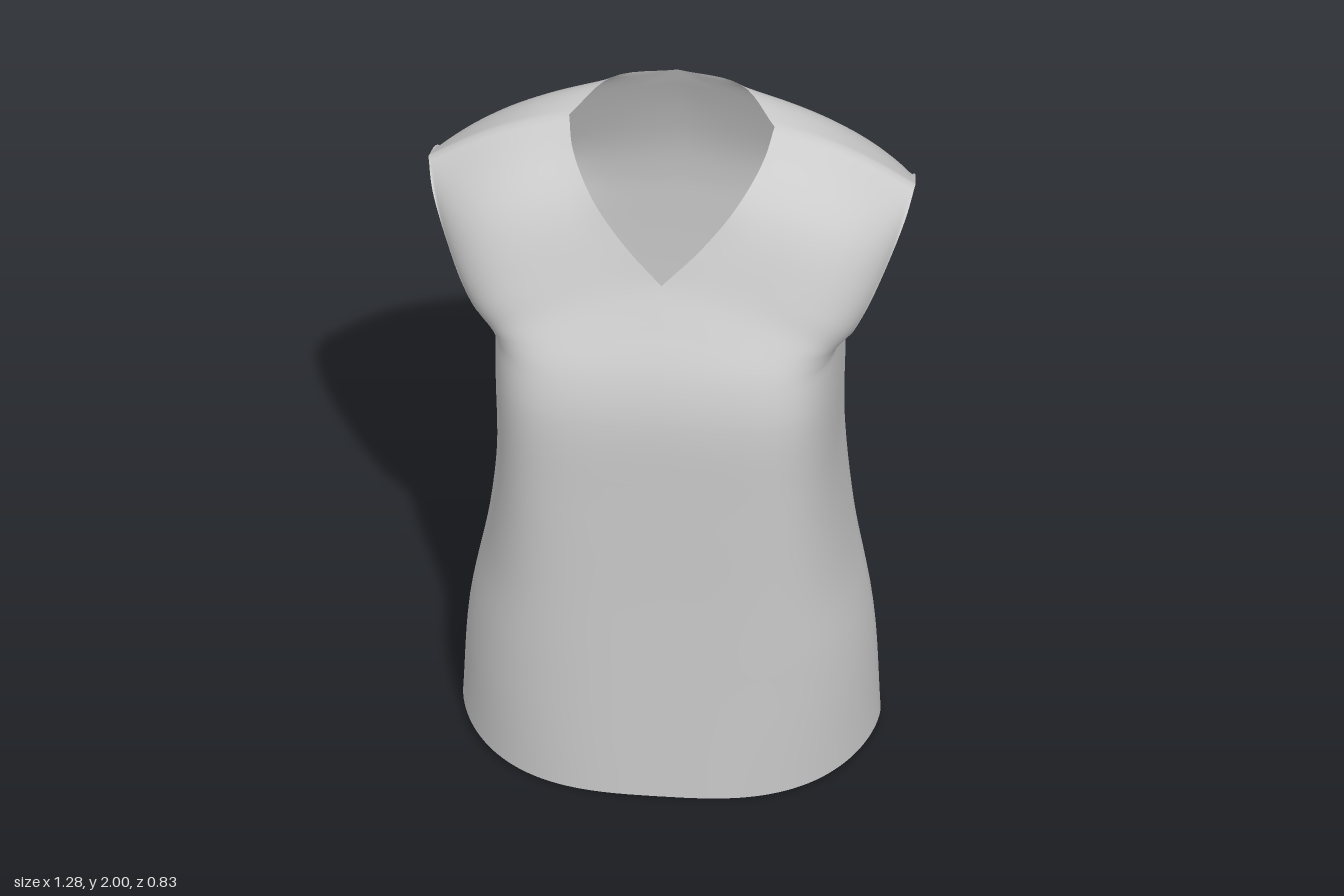
import * as THREE from 'three';
import { mergeGeometries, mergeVertices } from 'three/addons/utils/BufferGeometryUtils.js';

const { lerp, smoothstep } = THREE.MathUtils;

// Each edge is a chain of smooth curves that meet at corners; one unit of k is one knot.
function edge(...parts) {
  const curves = parts.map((p) => new THREE.CatmullRomCurve3(p.map((q) => new THREE.Vector3(...q))));
  return (k) => {
    for (const c of curves) {
      const n = c.points.length - 1;
      if (k <= n + 1e-9) return c.getPoint(Math.min(1, k / n));
      k -= n;
    }
  };
}

const KNOTS = 11, STEPS = 6, COLS = 32, ROWS = KNOTS * STEPS, W = COLS + 1;
const side = [[.548, .04, 0], [.53, .35, 0], [.478, .65, 0], [.45, .95, 0], [.452, 1.2, 0], [.453, 1.34, 0]];

// Centre line then neckline (inner), side seam then armhole (outer); n is the squareness along the height.
const front = {
  dir: 1,
  centreKnots: 7,
  inner: edge(
    [[0, 0, .37], [0, .35, .38], [0, .65, .39], [0, .95, .403], [0, 1.25, .412], [0, 1.38, .388], [0, 1.5, .338], [0, 1.62, .283]],
    [[0, 1.62, .283], [.1, 1.72, .25], [.19, 1.83, .2], [.25, 1.91, .1], [.27, 1.95, 0]]),
  outer: edge(side,
    [[.453, 1.34, 0], [.465, 1.37, .11], [.49, 1.43, .195], [.53, 1.51, .19], [.575, 1.61, .145], [.622, 1.73, .075], [.64, 1.785, 0]]),
  n: [2.3, 2.7, 3.3, 3.9, 4.2, 4.2, 4, 3, 2.4, 2, 2, 2],
};
const back = {
  dir: -1,
  centreKnots: 9,
  inner: edge(
    [[0, .045, -.415], [0, .35, -.405], [0, .65, -.392], [0, .95, -.38], [0, 1.2, -.365], [0, 1.38, -.35],
      [0, 1.52, -.335], [0, 1.66, -.305], [0, 1.83, -.24], [0, 2, -.155]],
    [[0, 2, -.155], [.17, 1.985, -.125], [.27, 1.95, 0]]),
  outer: edge(side,
    [[.453, 1.34, 0], [.465, 1.39, -.11], [.49, 1.46, -.2], [.53, 1.53, -.225], [.585, 1.62, -.21], [.627, 1.735, -.115], [.64, 1.785, 0]]),
  n: [2.2, 2.4, 2.7, 3, 3.2, 3.4, 3.5, 3.2, 2.6, 2.2, 2, 2],
};

// Rows sweep from the inner edge to the outer edge in an arc, flat at the middle and slanting to the side.
function panelGrid(panel) {
  const grid = [];
  for (let i = 0; i <= ROWS; i++) {
    const k = i / STEPS, a = panel.inner(k), b = panel.outer(k);
    const k0 = Math.min(KNOTS - 1, Math.floor(k));
    const n = lerp(panel.n[k0], panel.n[k0 + 1], k - k0);
    const upper = smoothstep(k, 4, 8);
    const ease = lerp(1.6, 1, smoothstep(k, 8, 11));
    const bump = .025 * smoothstep(k, 7.5, 10.5);
    for (let j = 0; j <= COLS; j++) {
      const w = (j / COLS) * Math.PI / 2;
      const S = j === 0 ? 0 : Math.pow(Math.sin(w), 2 / (1.3 * n));
      const C = j === COLS ? 0 : Math.pow(Math.cos(w), 2 / (.75 * n));
      const drop = lerp(1 - C, Math.pow(S, ease), upper);
      grid.push(new THREE.Vector3(
        lerp(a.x, b.x, S),
        lerp(a.y, b.y, drop) + bump * Math.sin(Math.PI * S),
        lerp(b.z, a.z, C)));
    }
  }
  return grid;
}

// Relaxes the cloth over chest and shoulders, keeping all open edges and seams in place.
function relax(grid, passes) {
  for (let p = 0; p < passes; p++) {
    const old = grid.map((v) => v.clone());
    for (let i = 1; i < ROWS; i++) {
      const amount = .8 * smoothstep(i / STEPS, 5.5, 8);
      for (let j = 1; j < COLS; j++) {
        const c = i * W + j;
        const mean = old[c - 1].clone().add(old[c + 1]).add(old[c - W]).add(old[c + W]).multiplyScalar(.25);
        grid[c].lerp(mean, amount);
      }
    }
  }
  return grid;
}

// Fills out the cloth between neckline and armhole.
function fill(grid, dir) {
  grid.forEach((v, c) => {
    const k = Math.floor(c / W) / STEPS, s = (c % W) / COLS;
    const amount = smoothstep(k, 5, 7.5) * (1 - smoothstep(k, 9, 11)) * Math.sin(Math.PI * s) ** 1.5;
    v.z += dir * .035 * amount;
    v.y += .012 * amount;
  });
}

function halfPanel(grid, mirror, dir) {
  const pos = grid.flatMap((v) => [mirror * v.x, v.y, v.z]), index = [];
  for (let i = 0; i < ROWS; i++) {
    for (let j = 0; j < COLS; j++) {
      const p = i * W + j, q = p + 1, r = p + W, s = r + 1;
      if (mirror * dir < 0) index.push(p, r, q, q, r, s);
      else index.push(p, q, r, q, s, r);
    }
  }
  const g = new THREE.BufferGeometry();
  g.setAttribute('position', new THREE.Float32BufferAttribute(pos, 3));
  g.setIndex(index);
  return g;
}

export function createModel() {
  const group = new THREE.Group();
  group.name = 'sleevelessTop';

  // Four half panels sewn together at the centre, sides and shoulders
  const halves = [front, back].flatMap((panel) => {
    const grid = relax(panelGrid(panel), 20);
    fill(grid, panel.dir);
    // The centre line follows its relaxed neighbours so no crease forms there
    for (let i = 6 * STEPS; i < panel.centreKnots * STEPS; i++) {
      grid[i * W].y = lerp(grid[i * W].y, grid[i * W + 1].y, .5);
      grid[i * W].z = lerp(grid[i * W].z, grid[i * W + 1].z, .5);
    }
    return [1, -1].map((m) => halfPanel(grid, m, panel.dir));
  });
  const cloth = mergeVertices(mergeGeometries(halves), 1e-4);
  cloth.computeVertexNormals();
  const shirt = new THREE.Mesh(cloth, new THREE.MeshStandardMaterial({ color: 0xcccccc, side: THREE.DoubleSide }));
  shirt.name = 'shirtBody';
  group.add(shirt);
  return group;
}
